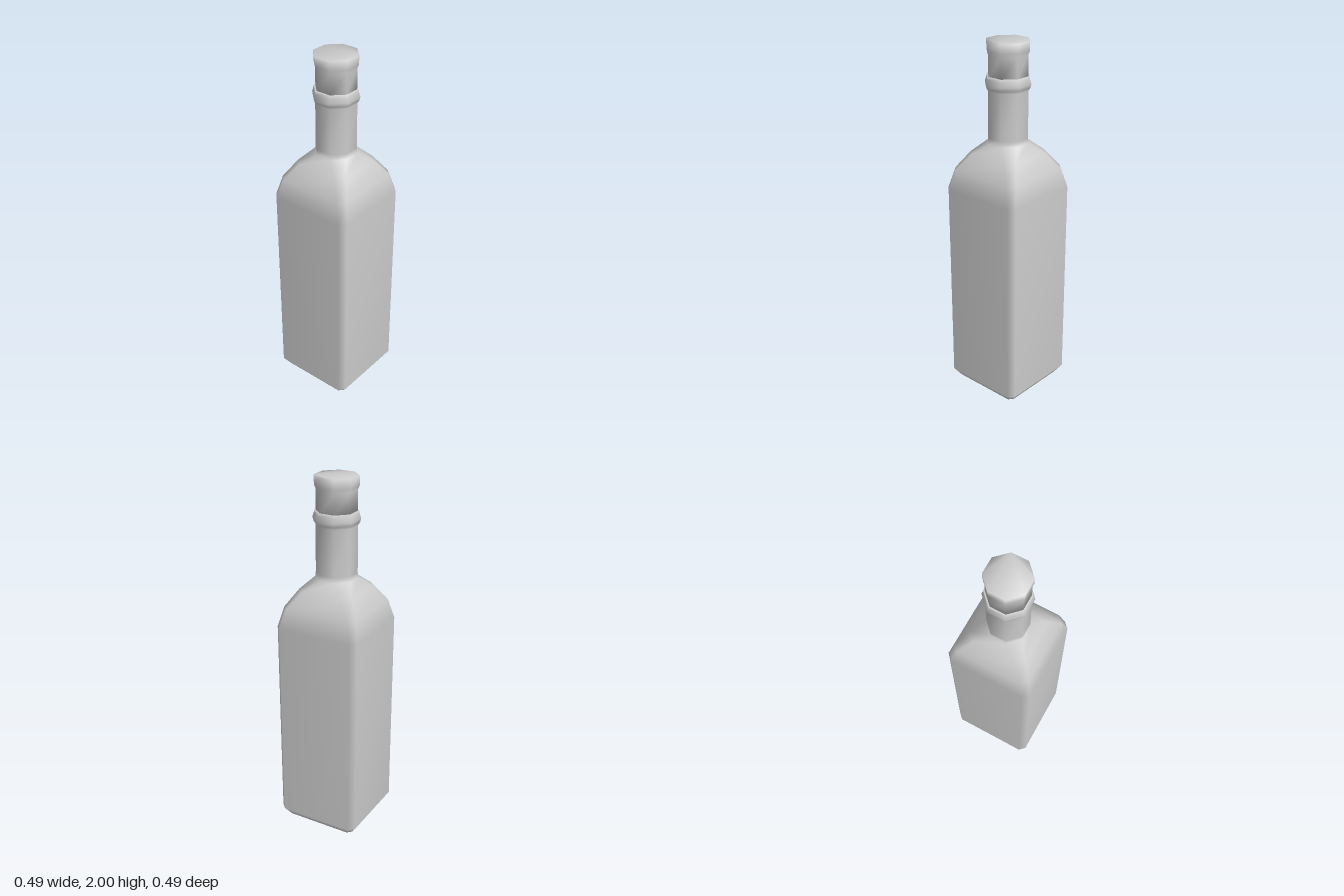
import * as THREE from 'three';

// Closed loft through eight-sided rings: [y, half width, half length of the flat side]
function loftOctagons(rings) {
  const positions = [];
  const index = [];
  for (const [y, w, f] of rings) {
    const corners = [[w, -f], [w, f], [f, w], [-f, w], [-w, f], [-w, -f], [-f, -w], [f, -w]];
    for (const [x, z] of corners) positions.push(x, y, z);
  }
  for (let r = 0; r < rings.length - 1; r++) {
    for (let i = 0; i < 8; i++) {
      const a = r * 8 + i;
      const b = r * 8 + (i + 1) % 8;
      index.push(a, a + 8, b, b, a + 8, b + 8);
    }
  }
  // End faces
  const top = (rings.length - 1) * 8;
  for (let i = 1; i < 7; i++) {
    index.push(0, i, i + 1);
    index.push(top, top + i + 1, top + i);
  }
  const geometry = new THREE.BufferGeometry();
  geometry.setAttribute('position', new THREE.Float32BufferAttribute(positions, 3));
  geometry.setIndex(index);
  geometry.computeVertexNormals();
  return geometry;
}

// Ring with a regular octagon outline
const regular = (y, w) => [y, w, w * Math.tan(Math.PI / 8)];

export function createModel() {
  const group = new THREE.Group();
  group.name = 'bottle';
  const material = new THREE.MeshStandardMaterial({ color: 0xcccccc });

  const add = (name, rings) => {
    const mesh = new THREE.Mesh(loftOctagons(rings), material);
    mesh.name = name;
    group.add(mesh);
  };

  // Square body with chamfered corners, rounded shoulders, neck and collar
  add('bottleBody', [
    [0, 0.207, 0.185],
    [0.05, 0.243, 0.212],
    [1.2, 0.243, 0.212],
    [1.31, 0.216, 0.182],
    [1.4, 0.16, 0.118],
    regular(1.46, 0.105),
    regular(1.49, 0.103),
    regular(1.745, 0.103),
    regular(1.76, 0.112),
    regular(1.78, 0.117),
    regular(1.805, 0.11),
    regular(1.82, 0.107),
  ]);

  // Stopper cap with a wider rim
  add('cap', [
    regular(1.815, 0.101),
    regular(1.93, 0.101),
    regular(1.95, 0.108),
    regular(2, 0.109),
  ]);

  return group;
}
